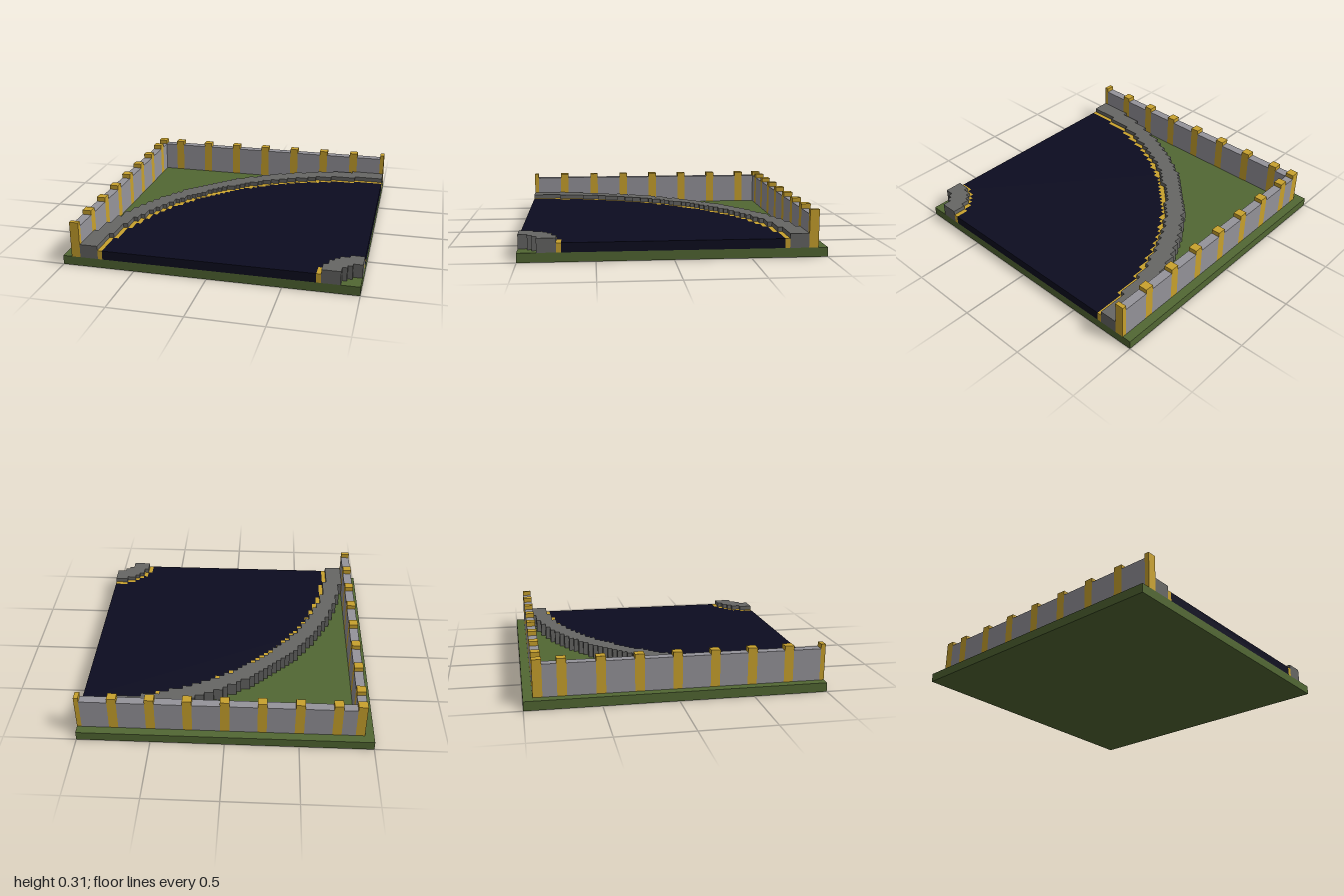
import * as THREE from 'three';

const U = 1 / 32; // one block; the plot is 64 x 64 blocks

const material = (name, color) => {
  const m = new THREE.MeshStandardMaterial({ color });
  m.name = name;
  return m;
};

// Stepped quarter circle of radius r blocks around the front left corner
function steppedArc(r) {
  const points = [];
  let last = -1;
  for (let row = 0; row < r; row++) {
    const width = Math.floor(Math.sqrt(r * r - (row + 0.5) ** 2) + 0.5);
    if (width !== last) {
      if (row > 0) points.push([last, row]);
      points.push([width, row]);
      last = width;
    }
  }
  points.push([last, r], [0, r]);
  return points.map(([a, b]) => new THREE.Vector2(1 - a * U, b * U - 1));
}

// Stepped ring quarter between two radii, standing on the base
function bandGeometry(inner, outer, height) {
  const shape = new THREE.Shape([...steppedArc(outer), ...steppedArc(inner).reverse()]);
  const geometry = new THREE.ExtrudeGeometry(shape, { depth: height * U, bevelEnabled: false });
  return geometry.rotateX(-Math.PI / 2).translate(0, 2 * U, 0);
}

// Box between block coordinates
function boxGeometry(x0, x1, y0, y1, z0, z1) {
  return new THREE.BoxGeometry((x1 - x0) * U, (y1 - y0) * U, (z1 - z0) * U)
    .translate((x0 + x1) / 2 * U - 1, (y0 + y1) / 2 * U, (z0 + z1) / 2 * U - 1);
}

export function createModel() {
  const model = new THREE.Group();
  model.name = 'roadCorner';

  const grass = material('grassGreen', 0x526733);
  const stone = material('wallGrey', 0x95949a);
  const kerb = material('kerbGrey', 0x666664);
  const gold = material('gold', 0xc9a22d);
  const asphalt = material('darkRoad', 0x0c0c20);

  const add = (name, geometry, mat, parent = model) => {
    const mesh = new THREE.Mesh(geometry, mat);
    mesh.name = name;
    parent.add(mesh);
  };

  add('base', boxGeometry(0, 64, 0, 2, 0, 64), grass);

  // Curved road with gold edging and raised kerbs
  add('road', bandGeometry(9, 55, 2), asphalt);
  add('outerEdging', bandGeometry(55, 56, 2), gold);
  add('innerEdging', bandGeometry(8, 9, 2), gold);
  add('outerKerb', bandGeometry(56, 60, 3), kerb);
  add('innerKerb', bandGeometry(4, 8, 3), kerb);

  // Boundary walls along the back and the right, with posts between panels
  const backWall = new THREE.Group();
  backWall.name = 'backWall';
  const sideWall = new THREE.Group();
  sideWall.name = 'sideWall';
  model.add(backWall, sideWall);
  add('cornerPost', boxGeometry(2, 4, 2, 10, 2, 4), gold);

  let start = 4;
  for (let i = 1; i <= 8; i++) {
    const a = i * 8 - 1;
    const b = Math.min(a + 2, 64);
    add('panel', boxGeometry(start, a, 2, 9, 2, 4), stone, backWall);
    add('post', boxGeometry(a, b, 2, 10, 2, 4), gold, backWall);
    add('panel', boxGeometry(2, 4, 2, 9, start, a), stone, sideWall);
    add('post', boxGeometry(2, 4, 2, 10, a, b), gold, sideWall);
    start = b;
  }

  return model;
}
